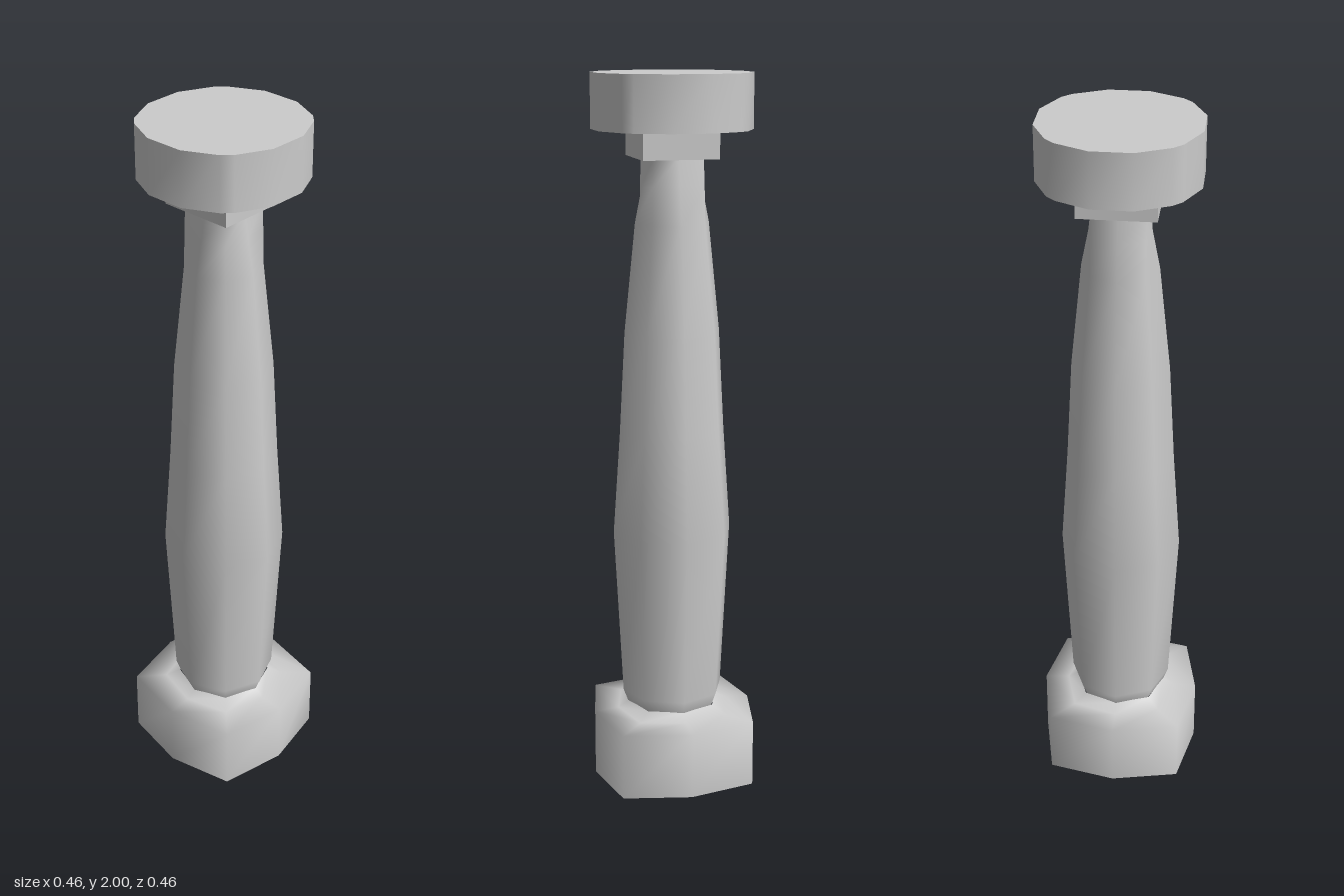
import * as THREE from 'three';

const material = new THREE.MeshStandardMaterial({ color: 0xcccccc });

// Eight-sided ring: a = distance of the points on the axes, d = x and z of the corner points
function octagon(a, d) {
  return [[a, 0], [d, d], [0, a], [-d, d], [-a, 0], [-d, -d], [0, -a], [d, -d]];
}

// Smooth skin through rings of equal point count, listed from bottom to top as [y, points],
// with flat lids that keep a sharp rim
function loft(name, rings, bottomLid, topLid) {
  const positions = [], index = [];
  const n = rings[0][1].length;
  for (const [y, points] of rings) for (const [x, z] of points) positions.push(x, y, z);
  for (let r = 0; r < rings.length - 1; r++) {
    for (let i = 0; i < n; i++) {
      const a = r * n + i, b = r * n + (i + 1) % n;
      index.push(a, a + n, b, b, a + n, b + n);
    }
  }
  const lid = ([y, points], up) => {
    const start = positions.length / 3;
    for (const [x, z] of points) positions.push(x, y, z);
    for (let i = 1; i < n - 1; i++) {
      if (up) index.push(start, start + i + 1, start + i);
      else index.push(start, start + i, start + i + 1);
    }
  };
  if (bottomLid) lid(rings[0], false);
  if (topLid) lid(rings[rings.length - 1], true);
  const geometry = new THREE.BufferGeometry();
  geometry.setAttribute('position', new THREE.Float32BufferAttribute(positions, 3));
  geometry.setIndex(index);
  geometry.computeVertexNormals();
  const mesh = new THREE.Mesh(geometry, material);
  mesh.name = name;
  return mesh;
}

export function createModel() {
  const group = new THREE.Group();
  group.name = 'baluster';

  // Squarish plinth with bowed sides, its top running up to the foot of the shaft
  group.add(loft('plinth', [
    [0, octagon(0.23, 0.19)],
    [0.19, octagon(0.23, 0.19)],
    [0.195, octagon(0.16, 0.125)],
    [0.215, octagon(0.13, 0.095)],
  ], true, false));

  // Round shaft, swelling below the middle and ending in a square top
  const profile = [[0.21, 0.13], [0.25, 0.145], [0.73, 0.17], [1.02, 0.15], [1.3, 0.135], [1.6, 0.104]];
  const shaft = profile.map(([y, r]) => [y, octagon(r, r * Math.SQRT1_2)]);
  shaft.push([1.7, octagon(0.084, 0.072)], [1.775, octagon(0.07, 0.07)]);
  group.add(loft('shaft', shaft, true, true));

  // Square neck block
  const neck = new THREE.Mesh(new THREE.BoxGeometry(0.21, 0.075, 0.21), material);
  neck.name = 'neck';
  neck.position.y = 1.8125;
  group.add(neck);

  // Round cap, one quadrant of its outline turned four times
  const quadrant = [[0.213, 0.055], [0.17, 0.145], [0.145, 0.17], [0.055, 0.213]];
  const outline = [];
  for (let q = 0; q < 4; q++) {
    const c = [1, 0, -1, 0][q], s = [0, 1, 0, -1][q];
    for (const [x, z] of quadrant) outline.push([x * c - z * s, x * s + z * c]);
  }
  group.add(loft('cap', [[1.85, outline], [2, outline]], true, true));

  return group;
}
